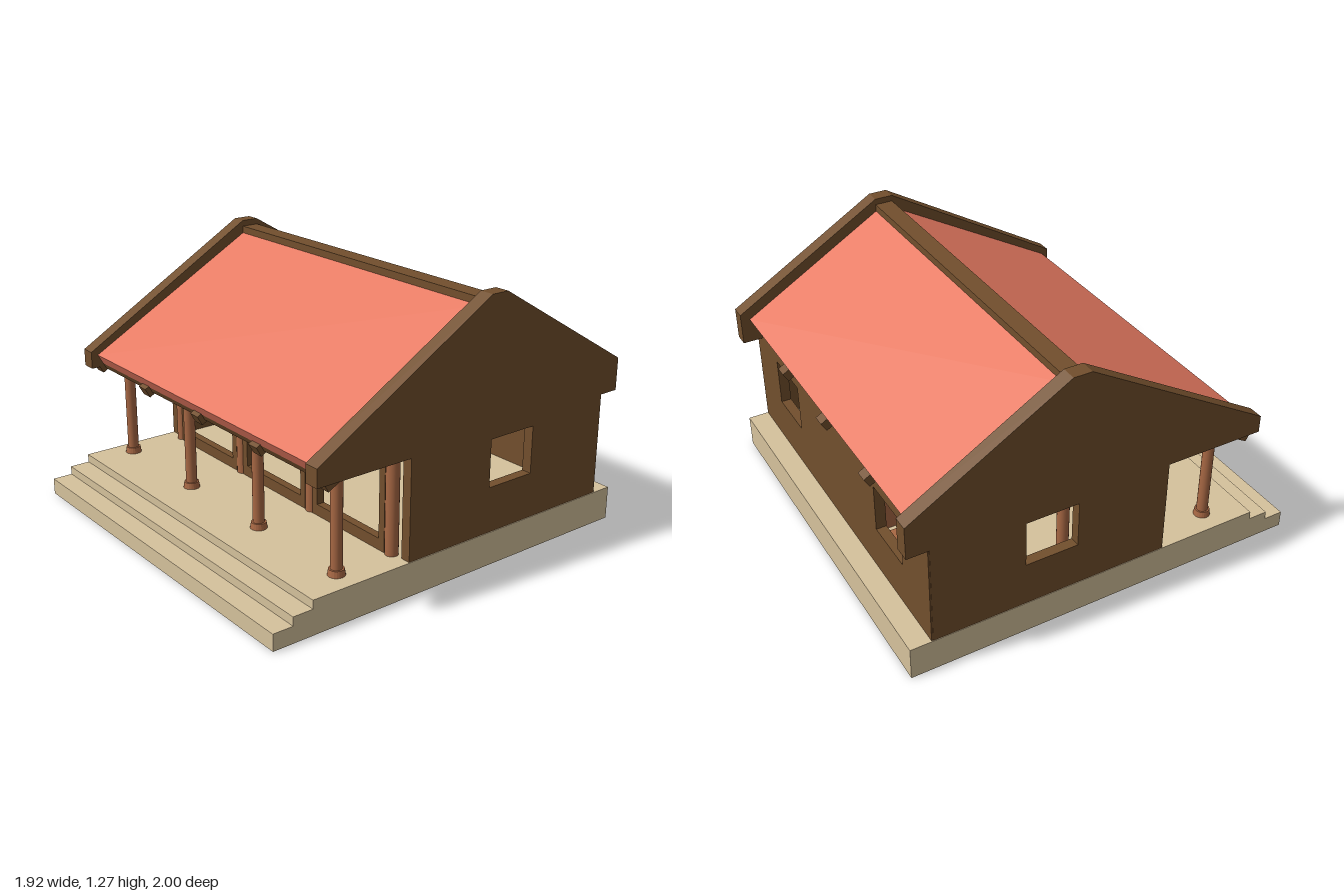
import * as THREE from 'three';

const mat = (color, side = THREE.FrontSide) =>
  new THREE.MeshStandardMaterial({ color, side, flatShading: true });
const brown = mat(0x724f2d);
const red = mat(0xe67961);
const stone = mat(0xd6c29c, THREE.DoubleSide);
const timber = mat(0xa86844);
const timberRound = new THREE.MeshStandardMaterial({ color: 0xa86844 });

const FLOOR = 0.165;
const rect = (u0, v0, u1, v1) => [[u0, v0], [u1, v0], [u1, v1], [u0, v1]];

export function createModel() {
  const house = new THREE.Group();
  house.name = 'house';

  const add = (name, geometry, material) => {
    const mesh = new THREE.Mesh(geometry, material);
    mesh.name = name;
    house.add(mesh);
  };
  const box = (name, material, x0, x1, y0, y1, z0, z1) => {
    const g = new THREE.BoxGeometry(x1 - x0, y1 - y0, z1 - z0);
    add(name, g.translate((x0 + x1) / 2, (y0 + y1) / 2, (z0 + z1) / 2), material);
  };
  const makeShape = (points, holes = []) => {
    const toVec = (list) => list.map(([u, v]) => new THREE.Vector2(u, v));
    const shape = new THREE.Shape(toVec(points));
    shape.holes = holes.map((h) => new THREE.Path(toVec(h)));
    return shape;
  };
  // Outline in (z, y), extruded from x0 to x1
  const acrossX = (name, material, points, x0, x1, holes) => {
    const g = new THREE.ExtrudeGeometry(makeShape(points, holes), { depth: x1 - x0, bevelEnabled: false });
    add(name, g.rotateY(-Math.PI / 2).translate(x1, 0, 0), material);
  };
  // Outline in (x, y), extruded from z0 to z1
  const acrossZ = (name, material, points, z0, z1, holes) => {
    const g = new THREE.ExtrudeGeometry(makeShape(points, holes), { depth: z1 - z0, bevelEnabled: false });
    add(name, g.translate(0, 0, z0), material);
  };

  // Stepped platform: a hollow shell, open underneath
  const steps = [[1, 0], [1, 0.08], [0.9, 0.08], [0.9, 0.122], [0.8, 0.122],
    [0.8, 0.163], [-1, 0.163], [-1, 0]];
  const W = 0.957;
  const pos = [];
  for (let i = 0; i < steps.length - 1; i++) {
    const [za, ya] = steps[i];
    const [zb, yb] = steps[i + 1];
    pos.push(-W, ya, za, W, ya, za, W, yb, zb, -W, ya, za, W, yb, zb, -W, yb, zb);
  }
  const shell = new THREE.BufferGeometry();
  shell.setAttribute('position', new THREE.Float32BufferAttribute(pos, 3));
  shell.computeVertexNormals();
  add('platformSteps', shell, stone);
  for (const x of [-W, W]) {
    const end = new THREE.ShapeGeometry(makeShape(steps));
    add('platformEnd', end.rotateY(-Math.PI / 2).translate(x, 0, 0), stone);
  }
  // Risers carried down to the ground inside the shell
  for (const [z, h] of [[0.9, 0.08], [0.8, 0.122]]) {
    add('innerRiser', new THREE.PlaneGeometry(2 * W, h).translate(0, h / 2, z), stone);
  }

  // Walls with window openings
  for (const x0 of [-0.956, 0.906]) {
    acrossX('sideWall', brown, rect(-0.89, FLOOR, 0.285, 0.67), x0, x0 + 0.05,
      [rect(-0.44, 0.385, -0.18, 0.615)]);
  }
  acrossZ('backWall', brown, rect(-0.954, FLOOR, 0.954, 0.74), -0.897, -0.847,
    [rect(-0.7, 0.39, -0.435, 0.63), rect(0.43, 0.39, 0.695, 0.63)]);

  // Gable ends
  const gable = [[0.78, 0.645], [0.78, 0.73], [-0.145, 1.275], [-0.235, 1.275],
    [-0.995, 0.825], [-0.995, 0.665], [-0.87, 0.665], [-0.87, 0.65]];
  acrossX('gableRight', brown, gable, -0.958, -0.885);
  acrossX('gableLeft', brown, gable, 0.885, 0.958);

  // Roof slopes: tiles, eave boards and rafters, their ends cut square to the slope
  const slopes = [
    { ridge: [-0.145, 1.21], eave: [0.745, 0.71], tail: 0.02 },
    { ridge: [-0.235, 1.21], eave: [-0.95, 0.79], tail: 0.035 },
  ];
  for (const { ridge: [zr, yr], eave: [ze, ye], tail } of slopes) {
    const slope = (yr - ye) / (ze - zr);
    // Point at a vertical depth below the slope line, moved out along the slope
    const atEave = (depth, out) => {
      const drop = depth / (1 + slope * slope);
      const reach = Math.sign(slope) * out;
      return [ze - drop * slope + reach, ye - drop - slope * reach];
    };
    const layer = (d0, d1, out) =>
      [[zr, yr - d0], atEave(d0, out), atEave(d1, out), [zr, yr - d1]];
    acrossX('roofTiles', red, layer(0, 0.064, 0), -0.885, 0.885);
    acrossX('eaveBoard', brown,
      [atEave(0.064, -0.1), atEave(0.064, 0), atEave(0.103, 0), atEave(0.103, -0.1)], -0.885, 0.885);
    for (const x of [-0.92, -0.46, 0, 0.46, 0.92]) {
      acrossX('rafter', brown, layer(0.058, 0.117, tail), x - 0.03, x + 0.03);
    }
  }
  box('ridgeBeam', brown, -0.885, 0.885, 1.1, 1.245, -0.235, -0.145);

  // Four rows of round posts under log beams; the porch row stands on footings
  const postX = [-0.847, -0.283, 0.283, 0.847];
  const postRows = [[0.593, 0.672, 0.027], [0.29, 0.82, 0.031], [-0.19, 1.08, 0.028], [-0.67, 0.82, 0.031]];
  for (const [z, top, r] of postRows) {
    for (const x of postX) {
      const g = new THREE.CylinderGeometry(r, r, top - FLOOR, 20);
      add('post', g.translate(x, (top + FLOOR) / 2, z), timberRound);
      if (z > 0.5) {
        const base = new THREE.CylinderGeometry(0.035, 0.04, 0.03, 20);
        add('postFooting', base.translate(x, FLOOR + 0.015, z), timber);
      }
    }
    const log = new THREE.CylinderGeometry(0.026, 0.026, 1.77, 20);
    add('logBeam', log.rotateZ(Math.PI / 2).translate(0, top, z), timberRound);
  }
  for (const x of postX) {
    const tie = new THREE.CylinderGeometry(0.024, 0.024, 1.263, 20);
    add('tieBeam', tie.rotateX(Math.PI / 2).translate(x, 0.672, -0.0385), timberRound);
  }

  // Front bay frames between the posts
  for (const [a, b] of [[-0.82, -0.31], [-0.255, 0.255], [0.31, 0.82]]) {
    acrossZ('bayFrame', brown, rect(a, FLOOR, b, 0.69), 0.27, 0.31,
      [rect(a + 0.037, 0.22, b - 0.037, 0.645)]);
  }

  // Indoor furniture along the back wall
  box('bench', timber, -0.77, -0.35, FLOOR, 0.278, -0.84, -0.45);
  box('tallCabinet', timber, -0.21, 0.21, FLOOR, 0.43, -0.84, -0.7);
  box('cabinetStep', timber, -0.21, 0.21, FLOOR, 0.278, -0.7, -0.58);

  return house;
}
